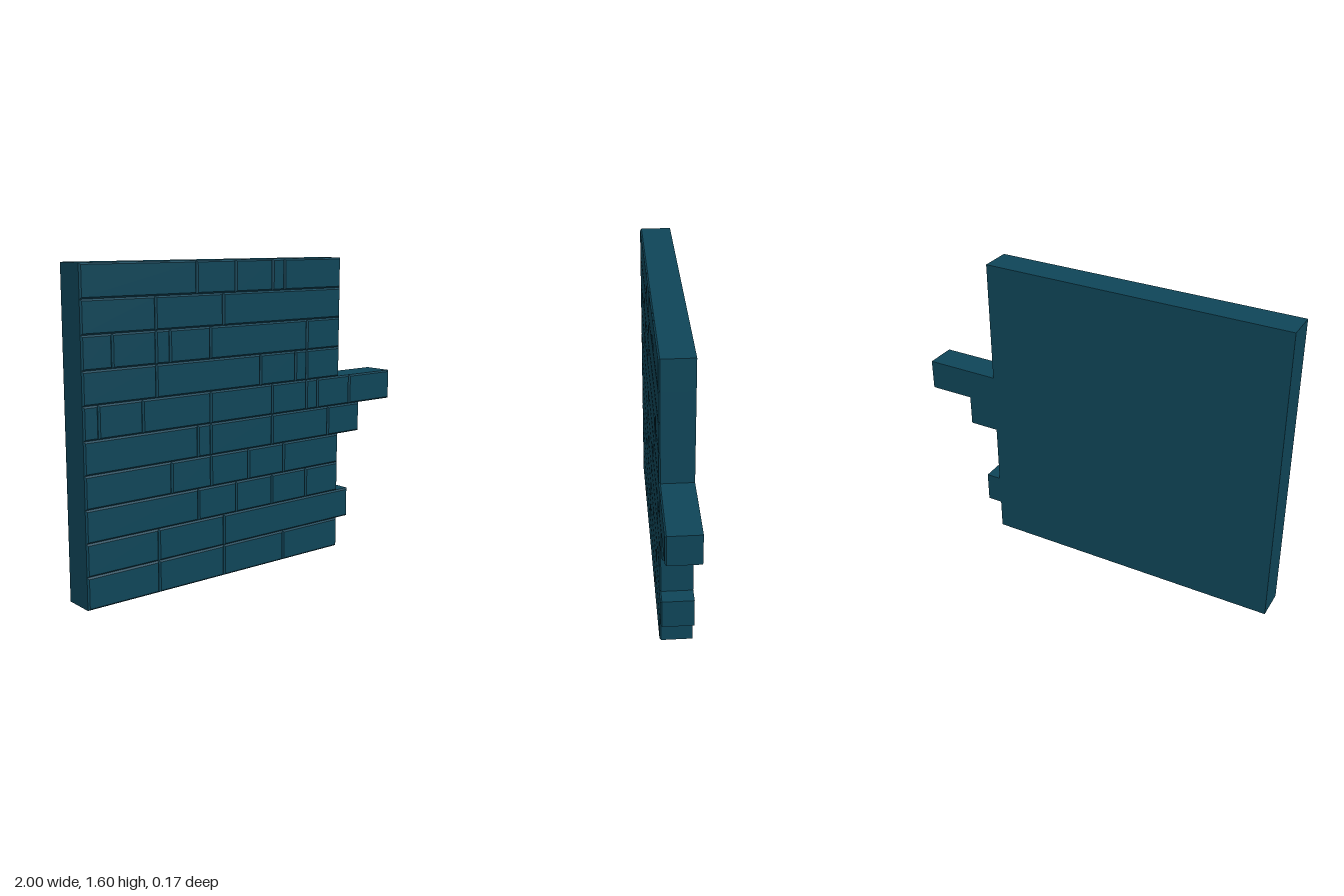
import * as THREE from 'three';

const ROW = 0.16, DEPTH = 0.168, BEVEL = 0.008, LEFT = -1;

// Right end of every brick, row by row from the ground up
const rows = [
  [-0.6, -0.2, 0.2, 0.6],
  [-0.6, -0.2, 0.68],
  [-0.36, -0.12, 0.12, 0.36, 0.6],
  [-0.52, -0.28, -0.04, 0.2, 0.6],
  [-0.36, -0.28, 0.12, 0.52, 0.76],
  [-0.92, -0.68, -0.28, 0.12, 0.36, 0.44, 0.68, 1],
  [-0.6, 0.04, 0.28, 0.36, 0.6],
  [-0.84, -0.6, -0.52, -0.28, 0.36, 0.6],
  [-0.6, -0.2, 0.6],
  [-0.36, -0.12, 0.12, 0.2, 0.6],
];

// Box whose front rim is chamfered
function brickGeometry(width) {
  const box = new THREE.BoxGeometry(width, ROW, DEPTH, 1, 1, 2);
  const p = box.attributes.position;
  for (let i = 0; i < p.count; i++) {
    const z = p.getZ(i);
    if (z > 0.01) {
      p.setX(i, p.getX(i) - Math.sign(p.getX(i)) * BEVEL);
      p.setY(i, p.getY(i) - Math.sign(p.getY(i)) * BEVEL);
    } else if (z > -0.01) {
      p.setZ(i, DEPTH / 2 - BEVEL);
    }
  }
  const flat = box.toNonIndexed();
  flat.computeVertexNormals();
  return flat;
}

export function createModel() {
  const wall = new THREE.Group();
  wall.name = 'brickWall';
  const teal = new THREE.MeshStandardMaterial({ color: 0x0f4558 });
  teal.name = 'dark teal';

  // Courses of bricks, some reaching past the right edge
  rows.forEach((ends, r) => {
    const course = new THREE.Group();
    course.name = `course${r + 1}`;
    let start = LEFT;
    ends.forEach((end, i) => {
      const brick = new THREE.Mesh(brickGeometry(end - start), teal);
      brick.name = `brick${i + 1}`;
      brick.position.set((start + end) / 2, (r + 0.5) * ROW, 0);
      course.add(brick);
      start = end;
    });
    wall.add(course);
  });
  return wall;
}
